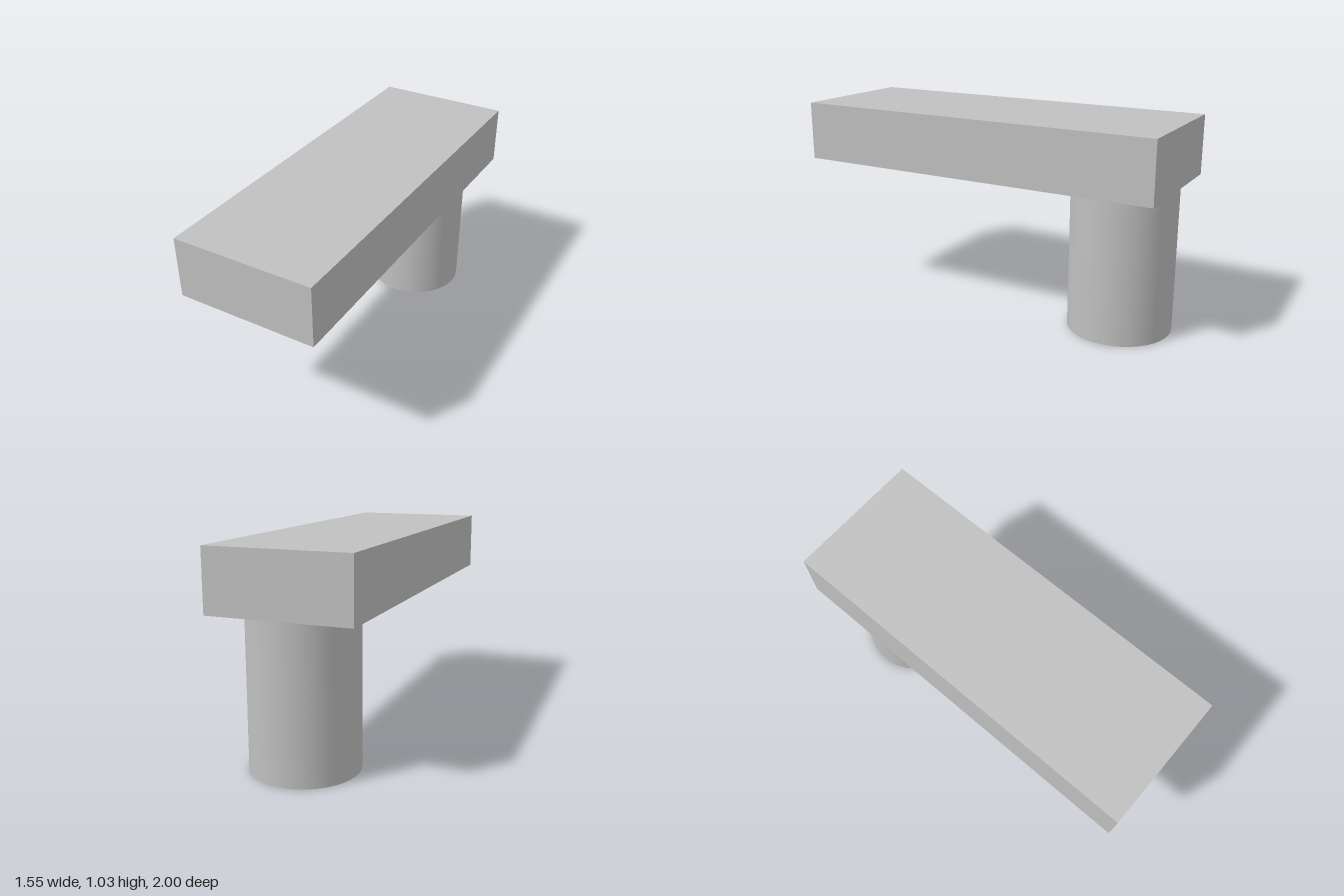
import * as THREE from 'three';

export function createModel() {
  const model = new THREE.Group();
  const grey = new THREE.MeshStandardMaterial({ color: 0xc0c0c0 });
  grey.name = 'light grey';

  const length = 1.911, width = 0.692, thickness = 0.3;
  const radius = 0.259, height = 0.732;

  // The whole piece is turned 30 degrees about the vertical
  const body = new THREE.Group();
  body.name = 'body';
  body.rotation.y = -Math.PI / 6;
  model.add(body);

  // Slab on top
  const slab = new THREE.Mesh(new THREE.BoxGeometry(width, thickness, length), grey);
  slab.name = 'slab';
  slab.position.y = height + thickness / 2;
  body.add(slab);

  // Round column under the back end of the slab
  const column = new THREE.Mesh(new THREE.CylinderGeometry(radius, radius, height, 64), grey);
  column.name = 'column';
  column.position.set(0, height / 2, -0.693);
  body.add(column);

  return model;
}
